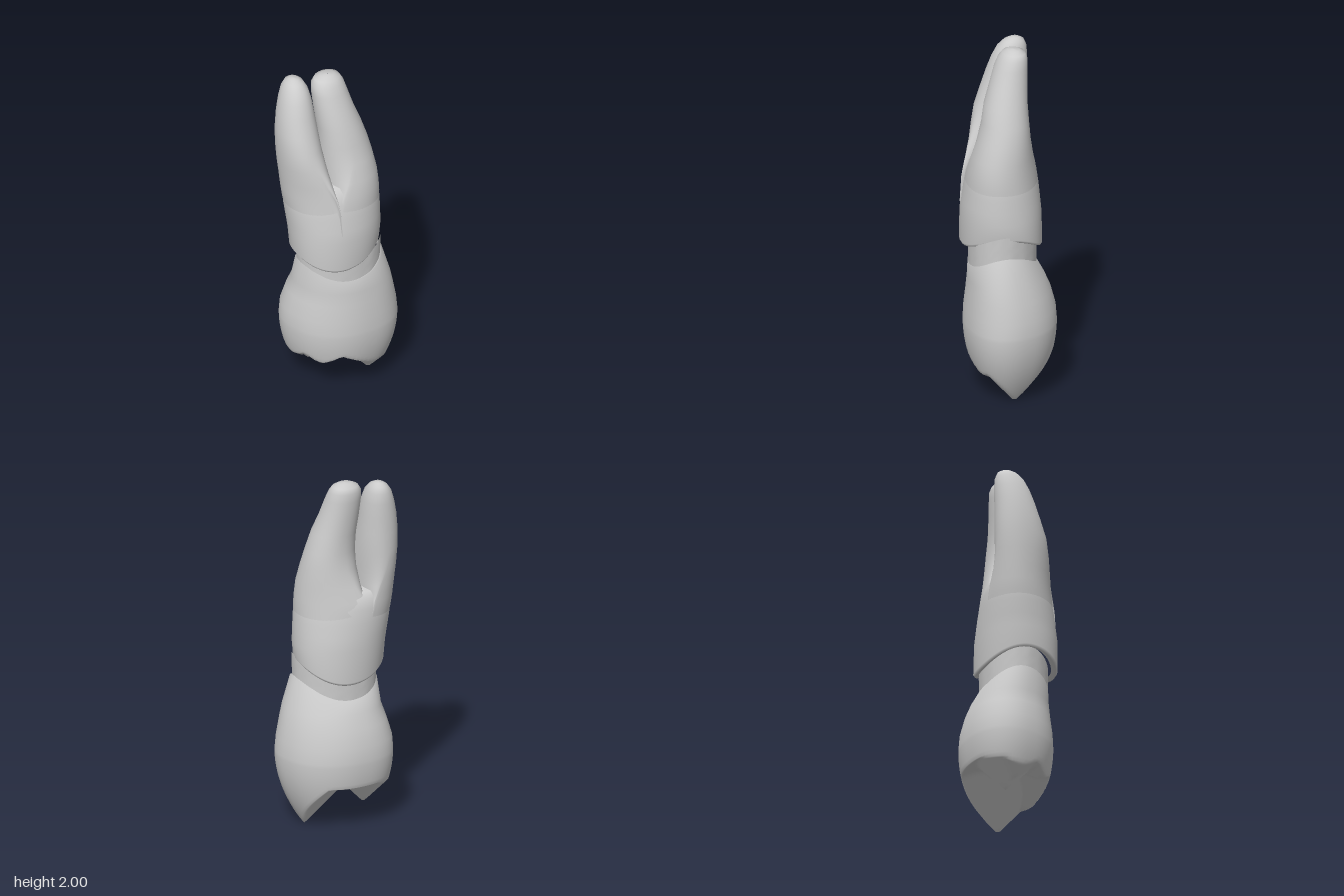
import * as THREE from 'three';

const SIDES = 72;
const { lerp } = THREE.MathUtils;

// Closed loft through rows of SIDES points, listed so the outside runs upward
function loft(rows) {
  const pos = rows.flat(2), index = [];
  for (let i = 0; i < rows.length - 1; i++) {
    for (let j = 0; j < SIDES; j++) {
      const k = (j + 1) % SIDES;
      const a = i * SIDES + j, b = i * SIDES + k, c = a + SIDES, d = b + SIDES;
      index.push(a, c, b, b, c, d);
    }
  }
  const g = new THREE.BufferGeometry();
  g.setAttribute('position', new THREE.Float32BufferAttribute(pos, 3));
  g.setIndex(index);
  g.computeVertexNormals();
  return g;
}

// Rounded section from its x and z limits; y is a number or a rule by angle.
// shear slides x along z, skew slides z along x while keeping the z limits.
function ring(y, [x0, x1, z0, z1], { scale = 1, shear = 0, skew = 0, power = 2.1, wobble = 0 } = {}) {
  const soft = (v) => Math.sign(v) * Math.abs(v) ** (2 / power);
  const rx = (x1 - x0) / 2, rz = (z1 - z0) / 2;
  const rzInner = Math.sqrt(rz * rz - (skew * rx) ** 2);
  return Array.from({ length: SIDES }, (_, j) => {
    const t = (j / SIDES) * Math.PI * 2;
    const s = scale * (1 + wobble * Math.sin(t * 11) * Math.sin(t * 5 + 1));
    const ex = rx * soft(Math.cos(t)) * s;
    const dz = rzInner * soft(Math.sin(t)) * s + skew * ex;
    return [(x0 + x1) / 2 + ex + shear * dz, typeof y === 'function' ? y(t) : y, (z0 + z1) / 2 + dz];
  });
}

// Wavy neck line, shared by the crown, the band and the root trunk
const neckLine = (lift) => (t) =>
  0.798 + lift + 0.043 * Math.cos(2 * (t - 0.25)) + 0.012 * Math.cos(t) + 0.008 * Math.sin(t);

// Chewing surface: cusps as [x, y, z, slope]
const cusps = [
  [0.19, -0.01, 0.04, 1.15],
  [-0.12, 0.1, -0.08, 1.05],
  [-0.18, 0.155, -0.06, 0.8],
  [0.12, 0.125, 0.16, 0.65],
  [-0.16, 0.2, 0.12, 0.6],
];
function cuspHeight(x, z) {
  return cusps.reduce((h, [cx, cy, cz, k]) => Math.min(h, cy + k * Math.hypot(x - cx, z - cz)), 0.265);
}

function crownGeometry() {
  const widest = [-0.28, 0.32, -0.265, 0.263];
  const rows = [];
  const steps = 32;
  for (let i = 0; i <= steps; i++) {
    const s = Math.max(0.002, Math.sin((i / steps) * Math.PI / 2));
    const u = Math.max(0, (s - 0.55) / 0.45);
    const rim = 0.42 * (1 - Math.sqrt(Math.max(0, 1 - u)));
    rows.push(ring(0, widest, { shear: 0.2, scale: s, power: 2.25 })
      .map(([x, , z]) => [x, Math.max(0, rim, cuspHeight(x, z)), z]));
  }
  const walls = [
    [0.5, -0.277, 0.315, -0.26, 0.26],
    [0.6, -0.252, 0.295, -0.232, 0.25],
    [0.68, -0.232, 0.276, -0.197, 0.242],
  ];
  for (const [y, ...lim] of walls) rows.push(ring(y, lim, { shear: 0.2, power: 2.2 }));
  const top = [-0.224, 0.224, -0.163, 0.233];
  rows.push(ring(neckLine(0), top, { shear: 0.2 }));
  rows.push(ring(neckLine(0.004), top, { shear: 0.2, scale: 0.9 }));
  return loft(rows);
}

function bandGeometry() {
  const lim = [-0.222, 0.218, -0.16, 0.229];
  return loft([-0.02, 0.02, 0.05, 0.08, 0.13].map((lift, i) =>
    ring(neckLine(lift), lim, { wobble: 0.008 * (i % 2), scale: 0.99 + i * 0.003, shear: 0.18 })));
}

// Outline around both roots, leaning further into their line with height
const hullLow = [-0.286, 0.226, -0.19, 0.257];
const hullHigh = [-0.315, 0.2, -0.186, 0.22];
function hullRing(y, scale = 1) {
  const f = (y - 1.05) / 0.35;
  return ring(y, hullLow.map((v, i) => lerp(v, hullHigh[i], f)), { scale, skew: lerp(0.05, 0.26, f) });
}

// Trunk that closes at the fork, inside the two roots
function trunkGeometry() {
  const base = [-0.282, 0.226, -0.187, 0.253];
  const rows = [
    ring(neckLine(0.115), base, { scale: 0.84 }),
    ring(neckLine(0.1), base, { scale: 0.96 }),
    ring(neckLine(0.115), base),
  ];
  const tiers = [[1.05, 1], [1.12, 1], [1.2, 1], [1.28, 0.985], [1.34, 0.93], [1.37, 0.8], [1.385, 0.02]];
  for (const [y, scale] of tiers) rows.push(hullRing(y, scale));
  return loft(rows);
}

// Root prong from sections [y, roundness, x0, x1, z0, z1]: low down it is the
// hull cut at the gap between the roots, higher up it becomes a free ellipse
const GAP = -0.11;
function prongGeometry(sections, cut) {
  return loft(sections.map(([y, round, ...lim]) => {
    const oval = ring(y, lim);
    if (round === 1) return oval;
    return hullRing(y, y < 1.2 ? 0.96 : 1).map(([x, , z], j) =>
      [lerp(cut(x, GAP), oval[j][0], round), y, lerp(z, oval[j][2], round)]);
  }));
}

const outerProng = [
  [1.1, 0, -0.29, -0.09, -0.18, 0.15],
  [1.25, 0.06, -0.3, -0.095, -0.185, 0.15],
  [1.32, 0.2, -0.308, -0.097, -0.186, 0.15],
  [1.4, 0.5, -0.315, -0.1, -0.186, 0.148],
  [1.5, 0.82, -0.325, -0.101, -0.189, 0.13],
  [1.6, 1, -0.33, -0.103, -0.19, 0.108],
  [1.7, 1, -0.326, -0.108, -0.19, 0.072],
  [1.8, 1, -0.312, -0.115, -0.19, 0.038],
  [1.88, 1, -0.292, -0.12, -0.19, 0.01],
  [1.94, 1, -0.27, -0.132, -0.185, -0.02],
  [1.975, 1, -0.245, -0.15, -0.17, -0.055],
  [1.99, 1, -0.222, -0.172, -0.145, -0.085],
  [1.994, 1, -0.198, -0.196, -0.116, -0.114],
];
const innerProng = [
  [1.1, 0, -0.12, 0.22, -0.12, 0.24],
  [1.25, 0.06, -0.12, 0.212, -0.12, 0.235],
  [1.32, 0.25, -0.118, 0.208, -0.118, 0.228],
  [1.4, 0.6, -0.115, 0.2, -0.112, 0.215],
  [1.5, 0.9, -0.112, 0.185, -0.105, 0.185],
  [1.6, 1, -0.11, 0.165, -0.1, 0.158],
  [1.7, 1, -0.113, 0.134, -0.1, 0.138],
  [1.8, 1, -0.12, 0.102, -0.108, 0.1],
  [1.9, 1, -0.124, 0.077, -0.115, 0.065],
  [1.95, 1, -0.12, 0.065, -0.116, 0.04],
  [1.98, 1, -0.1, 0.048, -0.105, 0.018],
  [1.996, 1, -0.065, 0.015, -0.075, -0.01],
  [2.0, 1, -0.026, -0.024, -0.041, -0.039],
];

export function createModel() {
  const enamel = new THREE.MeshStandardMaterial({ color: 0xcccccc });
  enamel.name = 'pale grey';
  const model = new THREE.Group();
  model.name = 'tooth';
  const add = (name, geometry) => {
    const mesh = new THREE.Mesh(geometry, enamel);
    mesh.name = name;
    model.add(mesh);
  };
  add('crown', crownGeometry());
  add('neckBand', bandGeometry());
  add('rootTrunk', trunkGeometry());
  add('outerRoot', prongGeometry(outerProng, Math.min));
  add('innerRoot', prongGeometry(innerProng, Math.max));
  return model;
}
